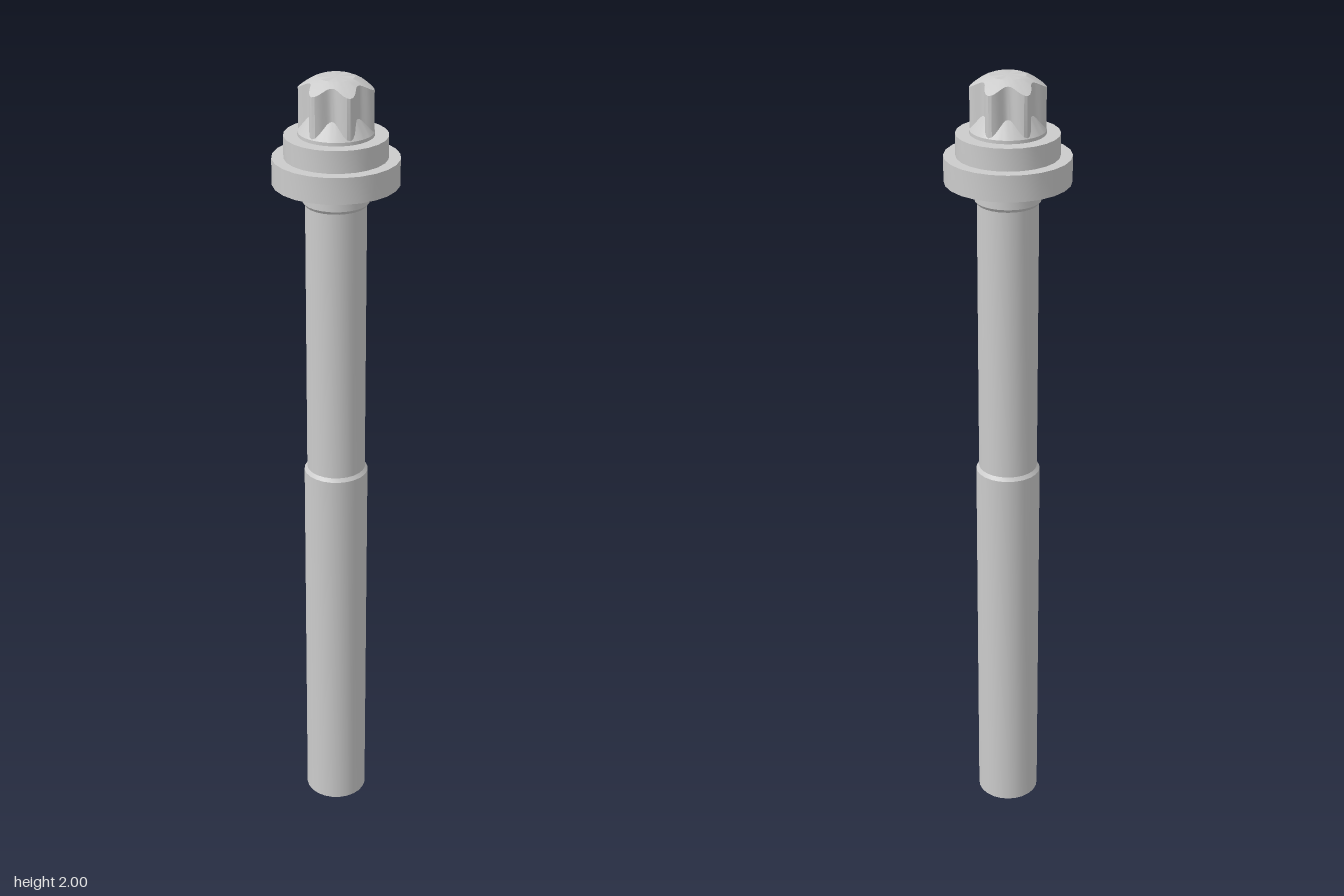
import * as THREE from 'three';
import { toCreasedNormals } from 'three/addons/utils/BufferGeometryUtils.js';

const material = new THREE.MeshStandardMaterial({ color: 0xcccccc });

// Mesh with smooth sides and sharp rims
function part(name, geometry, crease = 0.45) {
  const mesh = new THREE.Mesh(toCreasedNormals(geometry, crease), material);
  mesh.name = name;
  return mesh;
}

// Turned part from [radius, height] pairs, listed bottom to top
function turned(name, profile) {
  const points = profile.map(([r, y]) => new THREE.Vector2(r, y));
  return part(name, new THREE.LatheGeometry(points, 24));
}

// Six-lobed driving head with flared grooves and a domed top
function lobedHead() {
  const base = 1.866, outer = 0.089, valley = 0.063, flat = 0.042;
  const flareY = r => base + 0.008 + 0.04 * (outer - r) / (outer - valley);
  const domeY = r => 2 - 0.028 * Math.pow(Math.max(0, r - flat) / (outer - flat), 1.3);
  const rings = 7;
  const blank = Array.from({ length: rings }, (_, i) => new THREE.Vector2(0.05, base + i * 0.02));
  const geometry = new THREE.LatheGeometry(blank, 72);
  const pos = geometry.attributes.position;
  for (let i = 0; i < pos.count; i++) {
    const a = Math.floor(i / rings) / 72 * Math.PI * 2;
    const lobe = valley + (outer - 0.001 - valley) * Math.pow((1 + Math.cos(6 * a)) / 2, 1.2);
    const mid = (lobe + flat) / 2;
    const [r, y] = [
      [outer, base], [outer, base + 0.008], [lobe, flareY(lobe)], [lobe, domeY(lobe)],
      [mid, domeY(mid)], [flat, 2], [0, 2],
    ][i % rings];
    pos.setXYZ(i, Math.sin(a) * r, y, Math.cos(a) * r);
  }
  return part('drivingHead', geometry, 0.4);
}

export function createModel() {
  const bolt = new THREE.Group();
  bolt.name = 'bolt';
  bolt.add(
    // Thick lower length with a small shoulder chamfer
    turned('threadedLength', [[0, 0], [0.08, 0], [0.08, 0.995], [0.073, 1.004], [0, 1.004]]),
    // Slimmer upper shank
    turned('shank', [[0.073, 1.0], [0.073, 1.702]]),
    // Collar under the flange
    turned('collar', [[0, 1.698], [0.073, 1.698], [0.079, 1.706], [0.079, 1.752]]),
    // Wide washer flange and the step above it
    turned('flange', [[0, 1.75], [0.15, 1.75], [0.15, 1.813], [0, 1.813]]),
    turned('step', [[0.122, 1.81], [0.122, 1.866], [0, 1.866]]),
    lobedHead(),
  );
  return bolt;
}
